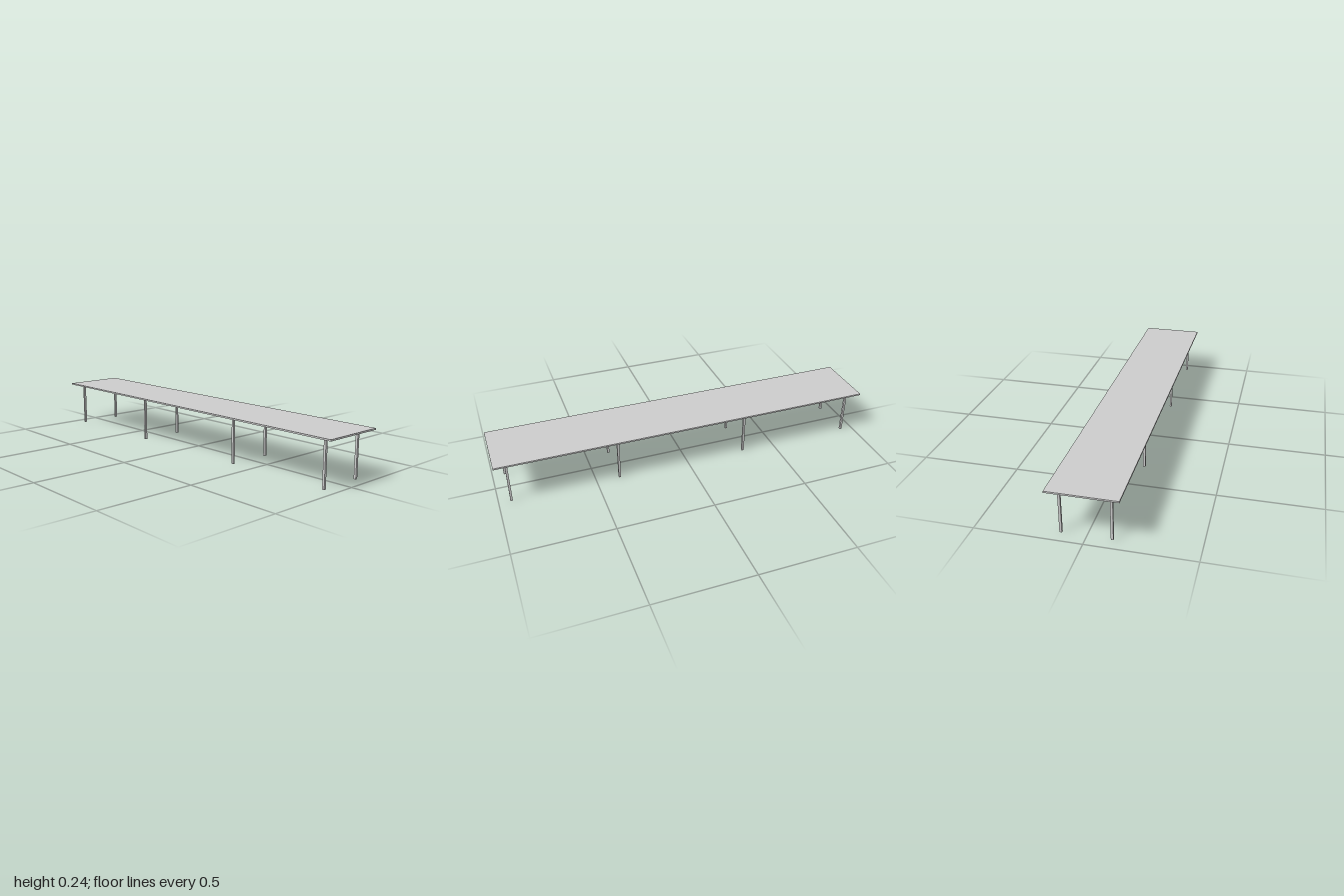
import * as THREE from 'three';

export function createModel() {
  const group = new THREE.Group();
  const material = new THREE.MeshStandardMaterial({ color: 0xcccccc });

  const addBox = (name, size, position) => {
    const mesh = new THREE.Mesh(new THREE.BoxGeometry(...size), material);
    mesh.name = name;
    mesh.position.set(...position);
    group.add(mesh);
  };

  // Long thin table top
  const height = 0.243, thickness = 0.008;
  addBox('tableTop', [0.327, thickness, 2], [0, height - thickness / 2, 0]);

  // Four pairs of slim square legs
  const legHeight = height - thickness, legWidth = 0.0115;
  for (const z of [0.936, 0.377, -0.321, -0.936]) {
    for (const [side, x] of [['left', 0.118], ['right', -0.113]]) {
      addBox(`${side}Leg`, [legWidth, legHeight, legWidth], [x, legHeight / 2, z]);
    }
  }

  return group;
}
